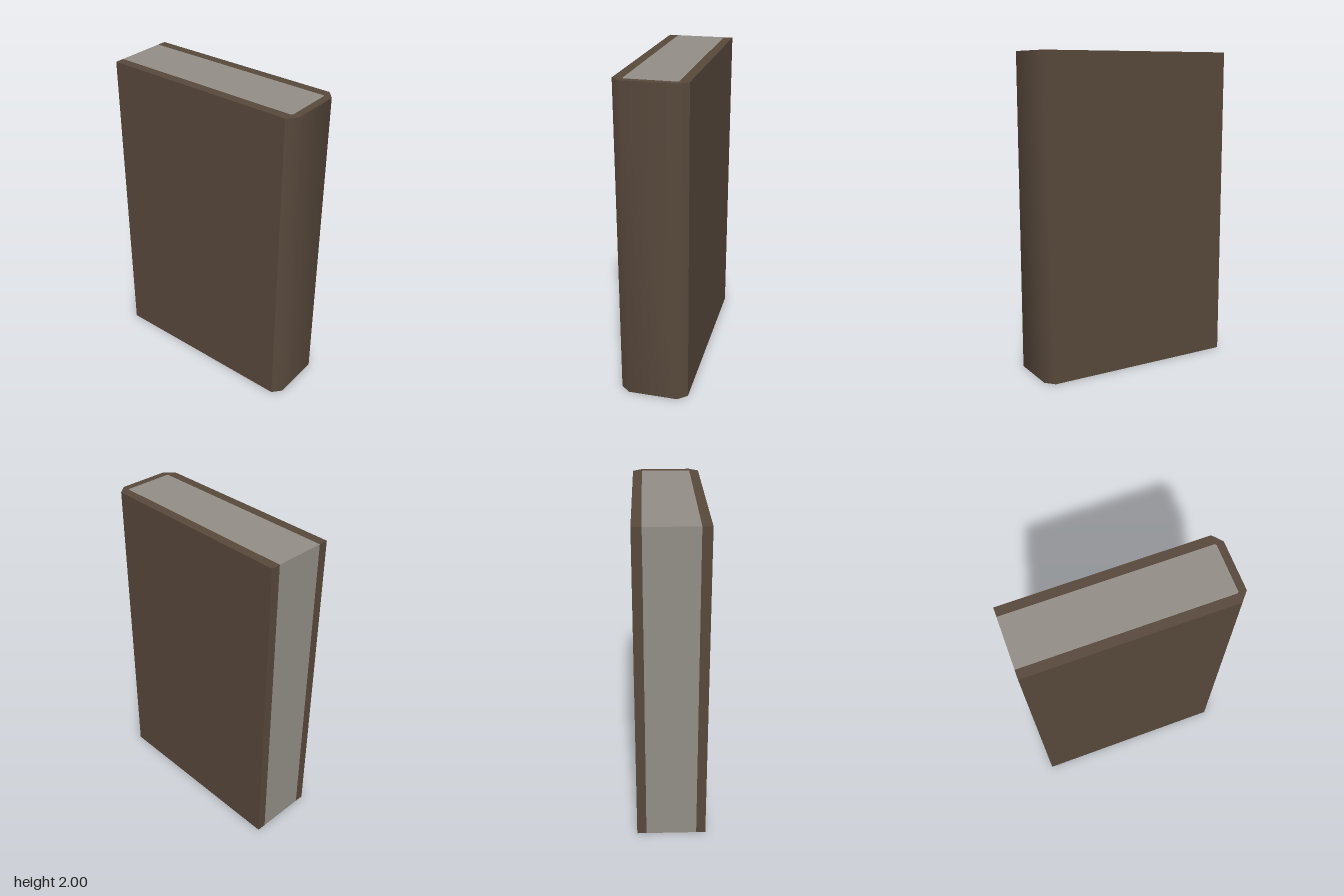
import * as THREE from 'three';
import { toCreasedNormals } from 'three/addons/utils/BufferGeometryUtils.js';

const HEIGHT = 2;
const BACK = -0.645;

// Half outlines as [x, z], from the open edge round to the spine
const outer = [[0.215, BACK], [0.215, 0.595], [0.157, 0.645]];
const inner = [[0.157, BACK], [0.157, 0.592], [0.149, 0.6]];

// Mirrors a half outline into a full one, running right to left
const mirrored = (half) => [...half, ...half.map(([x, z]) => [-x, z]).reverse()];

// Stands a floor outline up to the full height; spine bevels stay smooth
function upright(points, material, name) {
  const shape = new THREE.Shape(points.map(([x, z]) => new THREE.Vector2(x, -z)));
  const geometry = new THREE.ExtrudeGeometry(shape, { depth: HEIGHT, bevelEnabled: false });
  geometry.rotateX(-Math.PI / 2);
  const mesh = new THREE.Mesh(toCreasedNormals(geometry, Math.PI / 4), material);
  mesh.name = name;
  return mesh;
}

export function createModel() {
  const leather = new THREE.MeshStandardMaterial({ color: 0x57483b });
  leather.name = 'brown leather';
  const paper = new THREE.MeshStandardMaterial({ color: 0x928e86 });
  paper.name = 'grey paper';

  const book = new THREE.Group();
  book.name = 'book';
  // Boards and bevelled spine in one wrap, with the page block flush inside
  book.add(
    upright([...mirrored(outer), ...mirrored(inner).reverse()], leather, 'cover'),
    upright(mirrored(inner), paper, 'pages'),
  );
  return book;
}
